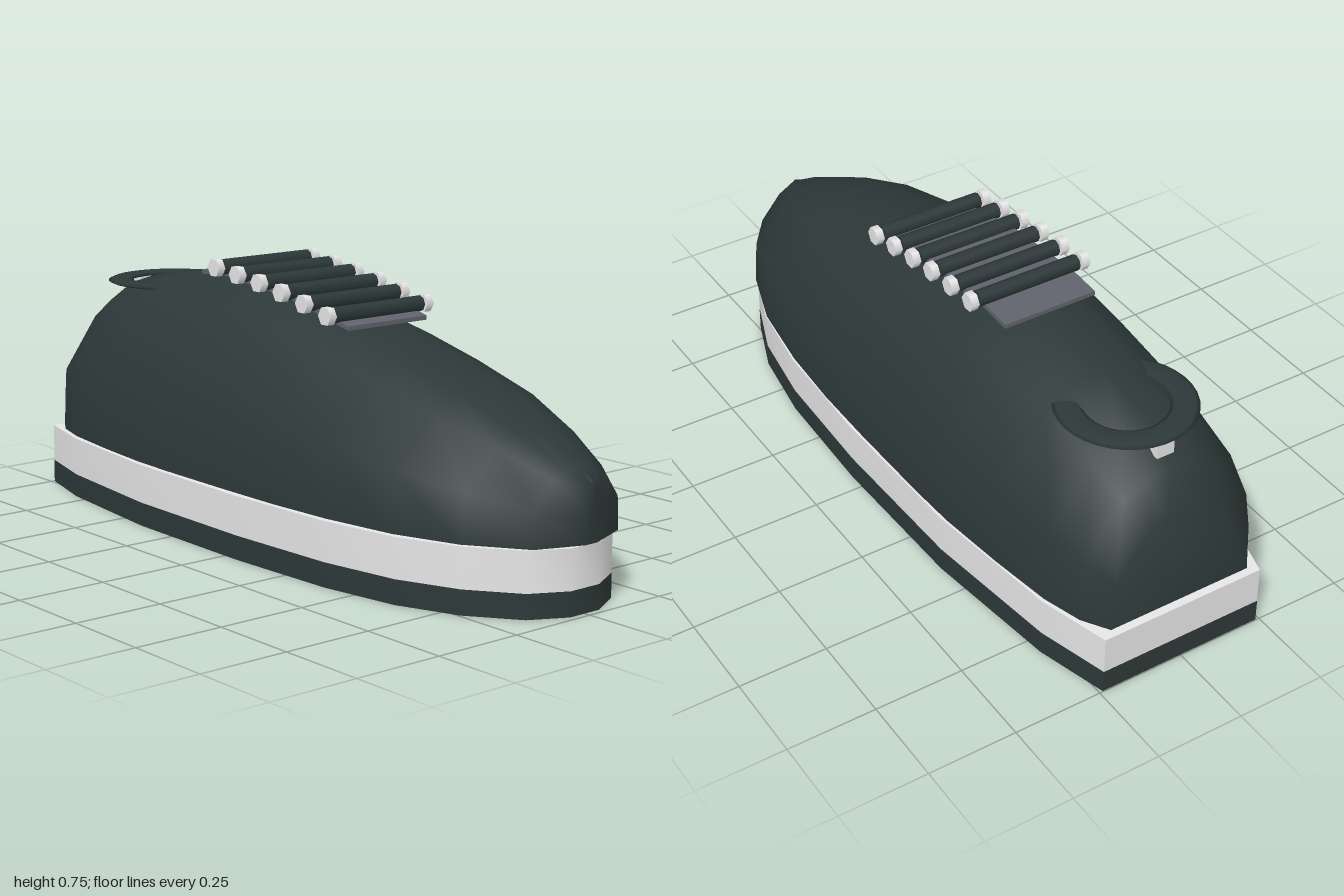
import * as THREE from 'three';
import { toCreasedNormals } from 'three/addons/utils/BufferGeometryUtils.js';

const mat = (name, color) => {
  const m = new THREE.MeshStandardMaterial({ color });
  m.name = name;
  return m;
};

// Upper stations: x, half width, top height
const STATIONS = [
  [-0.98, 0.21, 0.48], [-0.91, 0.255, 0.555], [-0.8, 0.288, 0.63], [-0.62, 0.315, 0.668],
  [-0.42, 0.338, 0.69], [-0.27, 0.345, 0.698], [0, 0.35, 0.67], [0.2, 0.35, 0.627],
  [0.4, 0.34, 0.575], [0.62, 0.31, 0.512], [0.8, 0.25, 0.44], [0.95, 0.148, 0.365], [1, 0.02, 0.338],
];
// Half cross-section: fraction of width, fraction of height
const SECTION = [[1, 0], [0.965, 0.48], [0.55, 0.87], [0.28, 0.97], [0, 1]];
const UPPER_BASE = 0.18;

function topAt(x) {
  const i = Math.max(1, STATIONS.findIndex((s) => s[0] >= x));
  const [a, b] = [STATIONS[i - 1], STATIONS[i]];
  return THREE.MathUtils.mapLinear(x, a[0], b[0], a[2], b[2]);
}

// Closed loft of the cross-section along the length
function upperGeometry() {
  const loop = [...SECTION, ...SECTION.slice(0, -1).reverse().map(([w, h]) => [-w, h])];
  const n = loop.length, last = STATIONS.length - 1;
  const pos = [], idx = [];
  for (const [x, w, top] of STATIONS)
    for (const [fw, fh] of loop) pos.push(x, UPPER_BASE + fh * (top - UPPER_BASE), fw * w);
  for (let i = 0; i < last; i++)
    for (let j = 0; j < n; j++) {
      const a = i * n + j, d = i * n + ((j + 1) % n);
      idx.push(a, a + n, d, a + n, d + n, d);
    }
  // Heel and toe caps
  for (let j = 1; j < n - 1; j++) {
    idx.push(0, j, j + 1);
    idx.push(last * n, last * n + j + 1, last * n + j);
  }
  const g = new THREE.BufferGeometry();
  g.setAttribute('position', new THREE.Float32BufferAttribute(pos, 3));
  g.setIndex(idx);
  return toCreasedNormals(g, 1.1);
}

// Flat sole slab between two heights
function soleGeometry(y0, y1, scale) {
  const half = [[-0.998, 0.24], [-0.8, 0.295], [-0.4, 0.345], [0.05, 0.357], [0.4, 0.345],
    [0.63, 0.31], [0.8, 0.245], [0.93, 0.15], [0.983, 0.05]];
  const pts = [...half, ...half.map(([x, z]) => [x, -z]).reverse()];
  const shape = new THREE.Shape(pts.map(([x, z]) => new THREE.Vector2(x, z * scale)));
  const g = new THREE.ExtrudeGeometry(shape, { depth: y1 - y0, bevelEnabled: false });
  g.rotateX(Math.PI / 2).translate(0, y1, 0);
  return toCreasedNormals(g, 0.9);
}

// Thin strip that follows the instep
function tongueGeometry() {
  const xs = [-0.38, -0.27, -0.13, 0, 0.1, 0.25];
  const low = xs.map((x) => new THREE.Vector2(x, topAt(x) + 0.004));
  const high = xs.map((x) => new THREE.Vector2(x, topAt(x) + 0.016)).reverse();
  const g = new THREE.ExtrudeGeometry(new THREE.Shape([...low, ...high]), { depth: 0.274, bevelEnabled: false });
  return g.translate(0, 0, -0.137);
}

export function createModel() {
  const dark = mat('dark fabric', 0x2d3838);
  const white = mat('white rubber', 0xe6e6e6);
  const grey = mat('grey tongue', 0x60636b);
  const model = new THREE.Group();
  model.name = 'shoe';
  const add = (name, geo, material, parent = model) => {
    const m = new THREE.Mesh(geo, material);
    m.name = name;
    parent.add(m);
    return m;
  };

  add('outsole', soleGeometry(0, 0.066, 1), dark);
  add('midsole', soleGeometry(0.066, 0.174, 0.995), white);
  add('upper', upperGeometry(), dark);
  add('tongue', tongueGeometry(), grey);

  // Laces with an eyelet at each end
  const lace = new THREE.CylinderGeometry(0.022, 0.022, 0.305, 8).rotateX(Math.PI / 2);
  const eyelet = new THREE.CylinderGeometry(0.026, 0.026, 0.022, 6)
    .rotateY(Math.PI / 6).rotateX(Math.PI / 2).rotateZ(Math.PI / 3);
  const heights = [0.728, 0.719, 0.708, 0.693, 0.675, 0.655];
  const laces = new THREE.Group();
  laces.name = 'laces';
  model.add(laces);
  heights.forEach((y, i) => {
    const x = -0.27 + i * 0.095;
    add('lace', lace, dark, laces).position.set(x, y, 0);
    for (const side of [-1, 1]) add('eyelet', eyelet, white, laces).position.set(x, y, side * 0.17);
  });

  // Flat open collar ring at the ankle
  const collar = new THREE.TorusGeometry(0.147, 0.037, 8, 24, 4.45)
    .rotateZ(0.8).rotateX(Math.PI / 2).scale(1, 0.2, 1);
  add('collar', collar, dark).position.set(-0.715, 0.628, 0);

  // Small tab under the back of the collar
  add('heelTab', new THREE.BoxGeometry(0.05, 0.045, 0.05), white).position.set(-0.86, 0.6, 0);
  return model;
}
